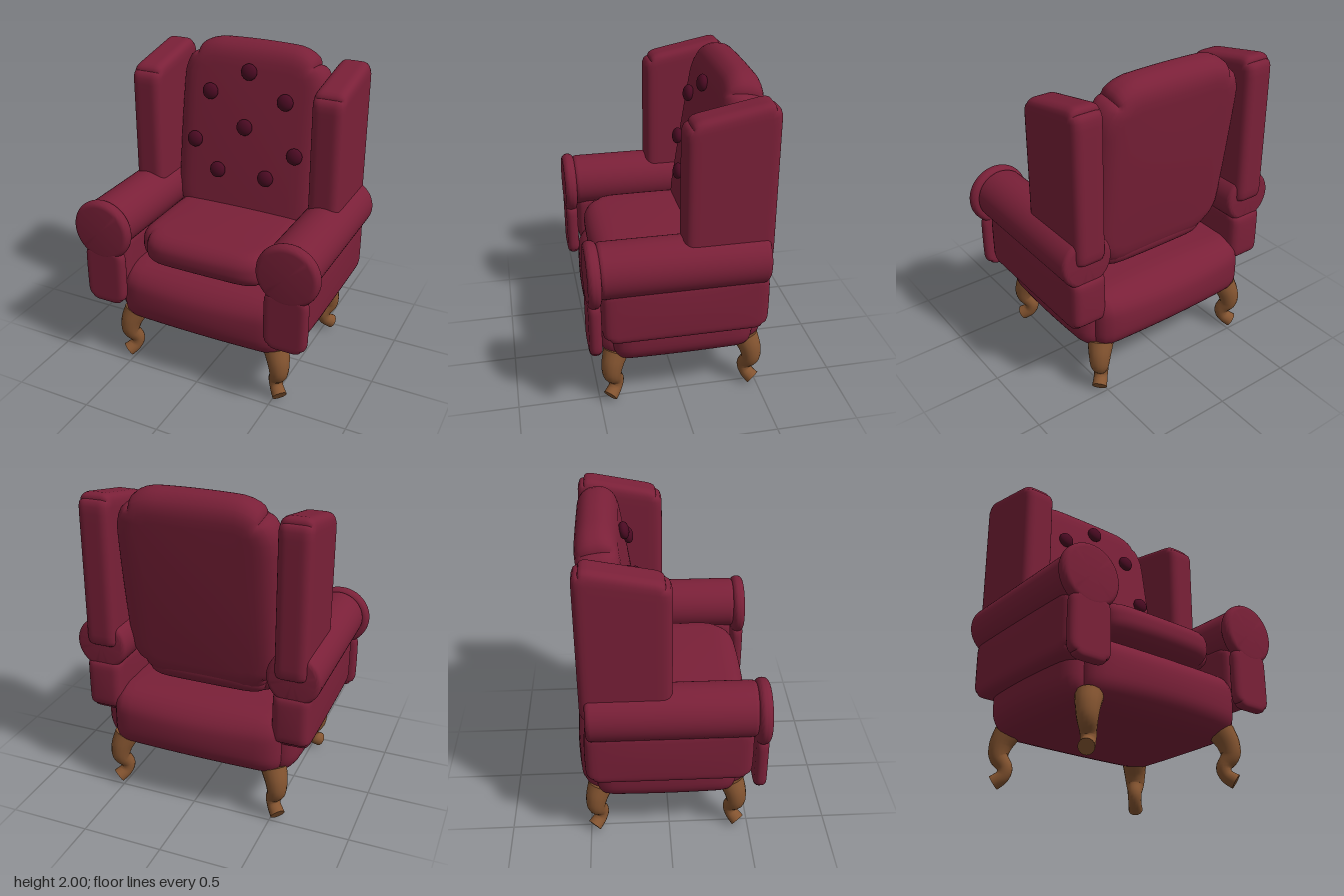
import * as THREE from 'three';
import { mergeVertices, toCreasedNormals } from 'three/addons/utils/BufferGeometryUtils.js';

const leather = new THREE.MeshStandardMaterial({ color: 0x7a2038 });
leather.name = 'burgundy leather';
const buttonDark = new THREE.MeshStandardMaterial({ color: 0x4a0a22 });
buttonDark.name = 'dark button';
const wood = new THREE.MeshStandardMaterial({ color: 0x845430 });
wood.name = 'brown wood';

// Upholstered pad: box with half sizes h, edge radius r, puffed faces (bulge),
// and outline corners of radius c rounded in the plane of two axes.
function pad(h, r, bulge, c, [a, b], shape) {
  const n = 22;
  let g = new THREE.BoxGeometry(2, 2, 2, n, n, n);
  g.deleteAttribute('uv');
  g.deleteAttribute('normal');
  g = mergeVertices(g, 1e-4);
  const pos = g.attributes.position;
  for (let i = 0; i < pos.count; i++) {
    const t = [pos.getX(i), pos.getY(i), pos.getZ(i)].map(v => Math.sin(v * Math.PI / 2));
    const p = t.map((v, k) => v * h[k]);
    // round the edges
    const inner = p.map((v, k) => THREE.MathUtils.clamp(v, r - h[k], h[k] - r));
    const d = p.map((v, k) => v - inner[k]);
    const len = Math.hypot(...d) || 1;
    const q = inner.map((v, k) => v + d[k] / len * r);
    // round the outline corners
    const u = (Math.abs(q[a]) - h[a] + c) / c, v = (Math.abs(q[b]) - h[b] + c) / c;
    if (u > 0 && v > 0) {
      const s = Math.max(u, v) / Math.hypot(u, v);
      q[a] = Math.sign(q[a]) * (h[a] - c + u * s * c);
      q[b] = Math.sign(q[b]) * (h[b] - c + v * s * c);
    }
    // puff the faces
    const f = q.map((w, k) => w / h[k]);
    const out = q.map((w, k) => {
      const [m, o] = [0, 1, 2].filter(j => j !== k);
      return w + bulge[k] * f[k] * (1 - f[m] ** 2) * (1 - f[o] ** 2);
    });
    if (shape) shape(out);
    pos.setXYZ(i, ...out);
  }
  g.computeVertexNormals();
  return g;
}

// Round bar along z with softened rims
function roll(radius, halfLength, bevel) {
  const pts = [new THREE.Vector2(0, -halfLength)];
  for (const end of [-1, 1]) {
    for (let i = 0; i <= 6; i++) {
      const ang = (end < 0 ? 6 - i : i) / 6 * Math.PI / 2;
      pts.push(new THREE.Vector2(radius - bevel + Math.cos(ang) * bevel,
        end * (halfLength - bevel + Math.sin(ang) * bevel)));
    }
  }
  pts.push(new THREE.Vector2(0, halfLength));
  return toCreasedNormals(new THREE.LatheGeometry(pts, 48).rotateX(Math.PI / 2), 0.6);
}

// Curved leg: tube with varying thickness and flat ends
function legGeometry(sx, sz) {
  const path = new THREE.CatmullRomCurve3([
    [0.495, 0.355, 0.405], [0.525, 0.27, 0.435], [0.53, 0.2, 0.44],
    [0.5, 0.13, 0.41], [0.51, 0.08, 0.42], [0.555, 0.035, 0.465],
  ].map(([x, y, z]) => new THREE.Vector3(x * sx, y, z * sz - 0.02)));
  const radii = [0.08, 0.07, 0.06, 0.047, 0.042, 0.046];
  const n = 30, sides = 16;
  const g = new THREE.TubeGeometry(path, n, 1, sides);
  const pos = g.attributes.position, p = new THREE.Vector3();
  for (let i = 0; i <= n; i++) {
    const cap = i === 0 || i === n;
    const ring = THREE.MathUtils.clamp(i, 1, n - 1);
    const s = (ring - 1) / (n - 2) * (radii.length - 1);
    const k = Math.min(Math.floor(s), radii.length - 2);
    const rad = cap ? 0 : THREE.MathUtils.lerp(radii[k], radii[k + 1], s - k);
    const own = path.getPointAt(i / n), centre = path.getPointAt(ring / n);
    for (let j = 0; j <= sides; j++) {
      const at = i * (sides + 1) + j;
      p.fromBufferAttribute(pos, at).sub(own).multiplyScalar(rad).add(centre);
      pos.setXYZ(at, p.x, Math.max(p.y, 0), p.z);
    }
  }
  g.deleteAttribute('uv');
  return toCreasedNormals(g, 0.8);
}

export function createModel() {
  const chair = new THREE.Group();
  chair.name = 'wingbackArmchair';
  const add = (name, geometry, material, x, y, z) => {
    const mesh = new THREE.Mesh(geometry, material);
    mesh.name = name;
    mesh.position.set(x, y, z);
    chair.add(mesh);
    return mesh;
  };

  // Seat
  add('seatBase', pad([0.62, 0.2, 0.5], 0.13, [0.035, 0.025, 0.05], 0.18, [0, 2]), leather, 0, 0.505, -0.02);
  add('seatCushion', pad([0.455, 0.108, 0.4], 0.09, [0.015, 0.015, 0.02], 0.2, [0, 2]), leather, 0, 0.85, 0.06);

  // Reclined back
  const back = add('backrest', pad([0.485, 0.605, 0.12], 0.1, [0.018, 0.025, 0.015], 0.24, [0, 1]),
    leather, 0, 1.38, -0.32);
  back.rotation.x = -0.15;

  // Tufting buttons
  const buttonGeometry = new THREE.SphereGeometry(0.052, 24, 16).scale(1, 1, 0.62);
  [[0, 1.84, -0.24], [0.255, 1.69, -0.215], [-0.255, 1.69, -0.215], [0, 1.5, -0.178],
    [0.345, 1.37, -0.168], [-0.345, 1.37, -0.168], [0.167, 1.2, -0.135], [-0.167, 1.2, -0.135],
  ].forEach(([x, y, z]) => {
    add('tuftButton', buttonGeometry, buttonDark, x, y, z).rotation.x = -0.15;
  });

  // Side parts, shared by left and right
  const wing = pad([0.1, 0.475, 0.265], 0.055, [0, 0, 0], 0.09, [1, 2],
    p => { p[1] -= 0.2 * p[2] * THREE.MathUtils.clamp(p[1] / 0.475, 0, 1); });
  const armRoll = roll(0.165, 0.495, 0.03);
  const armDisc = roll(0.195, 0.039, 0.035);
  const armPanel = pad([0.115, 0.19, 0.49], 0.05, [0.01, 0, 0.01], 0.08, [1, 2]);
  const armFront = pad([0.133, 0.2, 0.038], 0.034, [0.005, 0, 0], 0.08, [0, 1]);
  for (const [side, s] of [['left', 1], ['right', -1]]) {
    add(side + 'Wing', wing, leather, s * 0.6, 1.425, -0.257);
    add(side + 'ArmRoll', armRoll, leather, s * 0.612, 0.99, 0.005);
    add(side + 'ArmDisc', armDisc, leather, s * 0.615, 0.972, 0.53);
    add(side + 'ArmPanel', armPanel, leather, s * 0.605, 0.72, -0.01);
    add(side + 'ArmFront', armFront, leather, s * 0.61, 0.665, 0.53);
    add(side + 'FrontLeg', legGeometry(s, 1), wood, 0, 0, 0);
    add(side + 'BackLeg', legGeometry(s, -1), wood, 0, 0, 0);
  }
  return chair;
}
